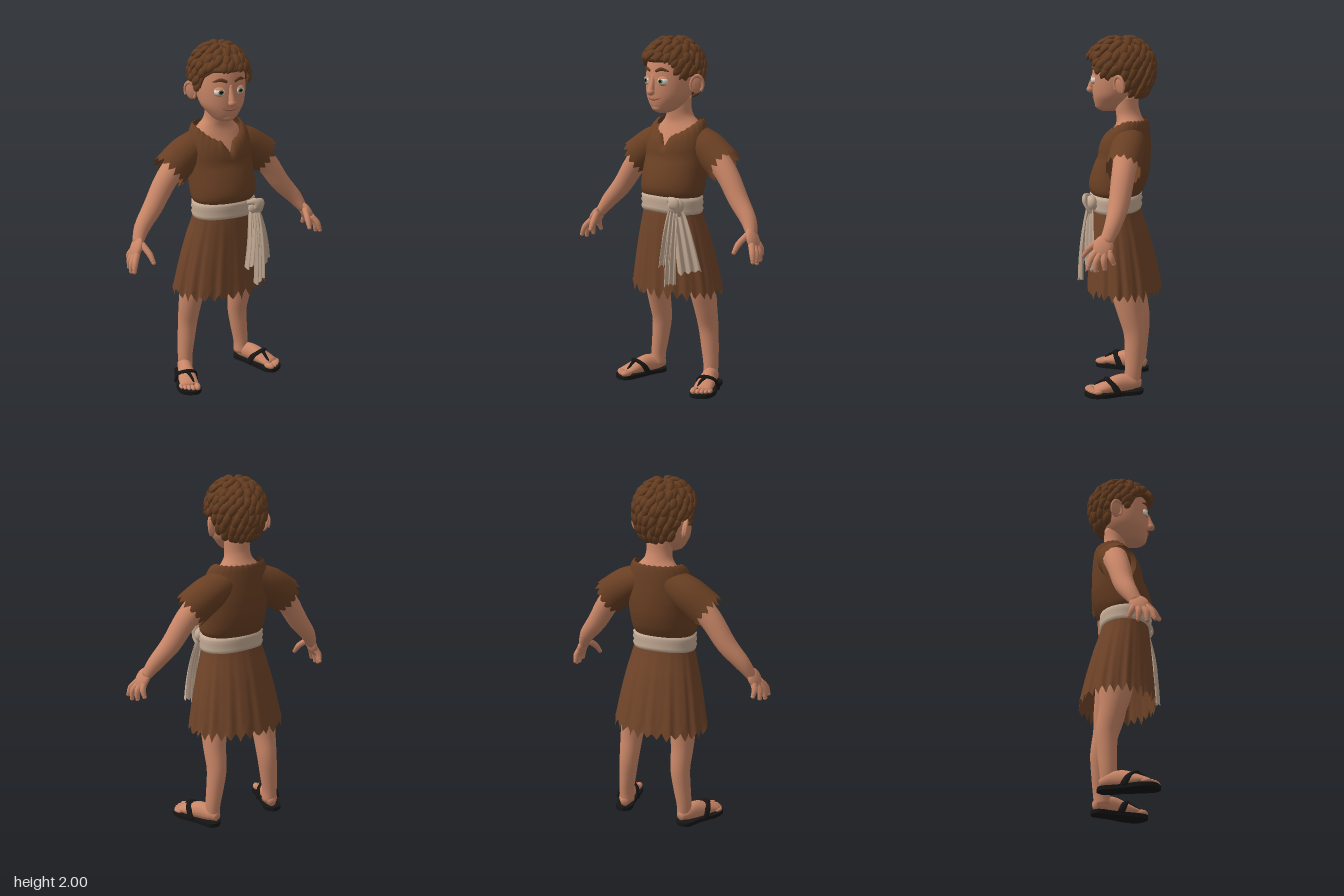
import * as THREE from 'three';
import { mergeGeometries } from 'three/addons/utils/BufferGeometryUtils.js';

const V = (p) => new THREE.Vector3(...p);
const { lerp, clamp } = THREE.MathUtils;
const mat = (name, color, side = THREE.FrontSide) => Object.assign(new THREE.MeshStandardMaterial({ color, side }), { name });
const M = {
  skin: mat('skin', 0xc98667), hair: mat('hair', 0x643c20), shirt: mat('shirt cloth', 0x693f23, THREE.DoubleSide),
  skirt: mat('skirt cloth', 0x704429, THREE.DoubleSide), sash: mat('sash cloth', 0xc4ab95, THREE.DoubleSide),
  sandal: mat('sandal leather', 0x151515), white: mat('eye white', 0xe6e0d8), iris: mat('iris', 0x5c6b52),
  pupil: mat('pupil', 0x0c0a09), lip: mat('lip', 0x9c5a46),
};

let seed = 7;
const rand = () => (seed = (seed * 16807) % 2147483647) / 2147483647;

function add(parent, name, geo, material) {
  const m = new THREE.Mesh(geo, material);
  m.name = name;
  parent.add(m);
  return m;
}

function ball(parent, name, material, pos, size, rot = [0, 0, 0]) {
  const m = add(parent, name, new THREE.SphereGeometry(1, 20, 14), material);
  m.position.set(...pos);
  m.scale.set(...size);
  m.rotation.set(...rot);
  return m;
}

// Skin a stack of equal closed rings
function loft(rings, caps = true) {
  const n = rings[0].length, last = rings.length - 1, pos = [], idx = [];
  rings.forEach((r) => r.forEach((p) => pos.push(p.x, p.y, p.z)));
  for (let i = 0; i < last; i++) for (let j = 0; j < n; j++) {
    const a = i * n + j, b = i * n + (j + 1) % n;
    idx.push(a, a + n, b, b, a + n, b + n);
  }
  if (caps) [0, last].forEach((i, top) => {
    const c = rings[i].reduce((s, p) => s.add(p), V([0, 0, 0])).divideScalar(n), k = pos.length / 3;
    pos.push(c.x, c.y, c.z);
    for (let j = 0; j < n; j++) {
      const a = i * n + j, b = i * n + (j + 1) % n;
      top ? idx.push(k, b, a) : idx.push(k, a, b);
    }
  });
  const g = new THREE.BufferGeometry();
  g.setAttribute('position', new THREE.Float32BufferAttribute(pos, 3));
  g.setIndex(idx);
  g.computeVertexNormals();
  return g;
}

const around = (n, f) => Array.from({ length: n }, (_, j) => f((j / n) * Math.PI * 2, j));
// Horizontal oval from a section [y, half width, front z, back z]
const oval = ([y, w, f, b], n, wave = () => 1) => around(n, (a) => {
  const k = wave(a);
  return V([Math.cos(a) * w * k, y, (f + b) / 2 + Math.sin(a) * (f - b) / 2 * k]);
});
// Smoothly resample sections
function sections(list, count) {
  const c = new THREE.CatmullRomCurve3(list.map(([y, w, f]) => V([y, w, f])));
  const d = new THREE.CatmullRomCurve3(list.map((s) => V([s[3], 0, 0])));
  return Array.from({ length: count + 1 }, (_, i) => [...c.getPoint(i / count).toArray(), d.getPoint(i / count).x]);
}

// Limb along a path; each radius is [along ref, across ref]
function limbRings(pts, radii, ref = [0, 0, 1], n = 16, steps = 16) {
  const c = new THREE.CatmullRomCurve3(pts.map(V));
  const rc = new THREE.CatmullRomCurve3(radii.map((r) => (r.length ? V([...r, 0]) : V([r, r, 0]))));
  return Array.from({ length: steps + 1 }, (_, i) => {
    const t = i / steps, p = c.getPoint(t), T = c.getTangent(t), r = rc.getPoint(t);
    const u = V(ref).addScaledVector(T, -T.dot(V(ref))).normalize(), v = u.clone().cross(T);
    return around(n, (a) => p.clone().addScaledVector(u, Math.cos(a) * r.x).addScaledVector(v, Math.sin(a) * r.y));
  });
}
const limb = (...args) => loft(limbRings(...args));

// Hair surface: angle a around the head (front = PI/2), theta down from the top
const hairline = [[-1, 2.5], [-0.45, 2.35], [-0.25, 1.75], [0.12, 1.75], [0.3, 1.95], [0.5, 1.55], [0.75, 1.33], [1, 1.3]];
function hairEnd(a) {
  const s = Math.sin(a), i = Math.max(1, hairline.findIndex(([k]) => s <= k + 1e-9));
  const [[s0, t0], [s1, t1]] = [hairline[i - 1], hairline[i]];
  return lerp(t0, t1, clamp((s - s0) / (s1 - s0), 0, 1));
}
function hairPoint(a, th, k = 1) {
  const c = Math.cos(th), r = Math.sin(th) * k, fringe = 1 + 0.1 * Math.max(0, Math.sin(a)) * Math.sin(th) ** 2;
  return V([Math.cos(a) * r * 0.152, 1.82 + c * (c > 0 ? 0.162 : 0.21) * k, -0.005 + Math.sin(a) * r * 0.178 * fringe]);
}

function buildHead() {
  const head = new THREE.Group();
  head.name = 'head';
  head.position.x = -0.013;
  head.rotation.y = -0.12;
  const skull = sections([[1.573, 0.025, 0.11, 0.04], [1.588, 0.06, 0.135, 0], [1.62, 0.09, 0.15, -0.05], [1.66, 0.118, 0.157, -0.085],
    [1.70, 0.13, 0.16, -0.11], [1.76, 0.136, 0.16, -0.13], [1.82, 0.136, 0.155, -0.145], [1.88, 0.128, 0.14, -0.14],
    [1.93, 0.1, 0.1, -0.11], [1.96, 0.04, 0.03, -0.05]], 30);
  add(head, 'skull', loft(skull.map((s) => oval(s, 40))), M.skin);

  // Nose and mouth
  add(head, 'noseBridge', limb([[0, 1.785, 0.148], [0, 1.74, 0.162], [0, 1.69, 0.176]], [0.012, 0.015, 0.02], [1, 0, 0]), M.skin);
  ball(head, 'noseTip', M.skin, [0, 1.692, 0.174], [0.023, 0.02, 0.022]);
  add(head, 'mouth', limb([[-0.05, 1.662, 0.143], [-0.025, 1.652, 0.154], [0, 1.65, 0.158], [0.025, 1.652, 0.154], [0.05, 1.662, 0.143]],
    [0.002, 0.004, 0.005, 0.004, 0.002], [0, 1, 0], 8), M.lip);
  ball(head, 'chin', M.skin, [0, 1.605, 0.12], [0.04, 0.024, 0.026]);

  for (const s of [-1, 1]) {
    // Eyes with lids and brows
    const eye = new THREE.Group();
    eye.name = s > 0 ? 'leftEye' : 'rightEye';
    eye.position.set(s * 0.053, 1.752, 0.128);
    eye.scale.set(0.034, 0.028, 0.031);
    eye.rotation.y = s * 0.15;
    add(eye, 'eyeball', new THREE.SphereGeometry(1, 20, 14), M.white);
    add(eye, 'iris', new THREE.SphereGeometry(1.02, 16, 4, 0, 6.2832, 0, 0.45).rotateX(1.57), M.iris);
    add(eye, 'pupil', new THREE.SphereGeometry(1.04, 16, 3, 0, 6.2832, 0, 0.24).rotateX(1.57), M.pupil);
    add(eye, 'upperLid', new THREE.SphereGeometry(1.1, 20, 8, 0, 6.2832, 0, 1.15), M.skin);
    add(eye, 'lowerLid', new THREE.SphereGeometry(1.08, 20, 8, 0, 6.2832, 2.15, 0.99), M.skin);
    head.add(eye);
    add(head, 'eyebrow', limb([[s * 0.022, 1.806, 0.157], [s * 0.055, 1.818, 0.149], [s * 0.092, 1.806, 0.124]],
      [[0.007, 0.005], [0.01, 0.006], [0.003, 0.003]], [0, 1, 0], 8), M.hair);
    // Ears with a rolled rim
    const ear = new THREE.Group();
    ear.name = s > 0 ? 'leftEar' : 'rightEar';
    ear.position.set(s * 0.153, 1.732, -0.03);
    ear.rotation.set(0, s * -0.6, s * -0.12);
    ball(ear, 'earBody', M.skin, [0, 0, 0], [0.013, 0.052, 0.036]);
    const rim = add(ear, 'earRim', new THREE.TorusGeometry(0.035, 0.008, 8, 24, 4.6).rotateZ(-0.9).rotateY(s * 1.57), M.skin);
    rim.position.x = s * 0.008;
    rim.scale.y = 1.35;
    head.add(ear);
  }

  // Hair cap, then overlapping locks flowing down from the crown
  const rows = [[1, 0.86], ...Array.from({ length: 15 }, (_, i) => [1 - i / 14.2, 1])];
  add(head, 'hairCap', loft(rows.map(([t, k]) => around(72, (a) => hairPoint(a, hairEnd(a) * t, k)))), M.hair);
  const locks = [];
  for (let row = 0; row < 8; row++) {
    const count = [6, 12, 17, 20, 22, 22, 22, 22][row];
    for (let i = 0; i < count; i++) {
      const a = ((i + 0.5 * (row % 2) + 0.4 * rand()) / count) * Math.PI * 2, end = hairEnd(a) + 0.04;
      const t0 = 0.08 + row * 0.27 + rand() * 0.08, t1 = Math.min(t0 + 0.5, end), turn = 0.1 + rand() * 0.25;
      if (t1 - t0 < 0.2) continue;
      const path = [0, 0.35, 0.7, 1].map((t, q) => hairPoint(a + turn * t, lerp(t0, t1, t), [0.97, 1.04, 1.05, 1.01][q]).toArray());
      const out = V(path[1]).sub(V([0, 1.82, 0])).normalize().toArray();
      locks.push(limb(path, [[0.006, 0.008], [0.014, 0.022], [0.013, 0.019], [0.002, 0.003]], out, 8, 7));
    }
  }
  add(head, 'hairLocks', mergeGeometries(locks), M.hair);
  return head;
}

function buildArm() {
  const arm = new THREE.Group();
  // Sleeve with a ragged cuff
  const sleeve = limbRings([[0.06, 1.445, -0.065], [0.2, 1.37, -0.058], [0.305, 1.293, -0.045]],
    [[0.08, 0.075], [0.098, 0.1], [0.096, 0.105]], [0, 0, 1], 60, 14);
  const axis = V([0.8, -0.6, 0]);
  sleeve[14].forEach((p, j) => p.addScaledVector(axis, [-0.01, 0.008, 0.02, 0.006][j % 4] * (0.6 + rand() * 0.8)));
  add(arm, 'sleeve', loft(sleeve, false), M.shirt);
  add(arm, 'armSkin', limb([[0.2, 1.38, -0.055], [0.325, 1.25, -0.045], [0.42, 1.11, -0.03], [0.505, 1.01, -0.005], [0.55, 0.935, 0.025]],
    [0.07, 0.064, 0.056, 0.044, [0.035, 0.026]]), M.skin);
  // Hand
  ball(arm, 'palm', M.skin, [0.562, 0.92, 0.035], [0.026, 0.066, 0.053], [-0.2, 0, 0.45]);
  const fingers = { thumb: [[0.54, 0.945, 0.06], [0.522, 0.9, 0.115], [0.515, 0.86, 0.145]], index: [[0.575, 0.9, 0.07], [0.602, 0.86, 0.098], [0.615, 0.815, 0.11]],
    middle: [[0.58, 0.89, 0.05], [0.607, 0.85, 0.068], [0.613, 0.803, 0.07]], ring: [[0.578, 0.89, 0.027], [0.6, 0.855, 0.028], [0.602, 0.812, 0.024]],
    little: [[0.57, 0.9, 0.005], [0.584, 0.87, -0.008], [0.582, 0.835, -0.022]] };
  for (const [name, path] of Object.entries(fingers)) {
    add(arm, name + 'Finger', limb(path, [0.018, 0.017, 0.012], [1, 0, 0], 10, 8), M.skin);
    ball(arm, name + 'Tip', M.skin, path[2], [0.0125, 0.0125, 0.0125]);
  }
  return arm;
}

function buildLeg() {
  const leg = new THREE.Group();
  add(leg, 'legSkin', limb([[0.13, 0.8, -0.03], [0.16, 0.58, -0.05], [0.168, 0.46, -0.07], [0.17, 0.34, -0.095], [0.182, 0.22, -0.095], [0.193, 0.12, -0.09], [0.192, 0.05, -0.085]],
    [[0.1, 0.085], [0.09, 0.071], [0.072, 0.063], [0.061, 0.056], [0.053, 0.049], [0.047, 0.042], [0.045, 0.04]], [0, 0, 1], 20, 24), M.skin);
  const foot = new THREE.Group();
  foot.name = 'foot';
  foot.position.set(0.245, 0, 0.012);
  foot.rotation.y = 0.33;
  add(foot, 'footSkin', limb([[-0.01, 0.05, -0.155], [-0.01, 0.06, -0.11], [-0.004, 0.062, -0.04], [0, 0.05, 0.04], [0, 0.037, 0.115]],
    [[0.024, 0.022], [0.042, 0.042], [0.052, 0.043], [0.037, 0.053], [0.017, 0.053]], [0, 1, 0], 20, 16), M.skin);
  [[-0.04, 0.125, 0.02], [-0.014, 0.132, 0.014], [0.009, 0.127, 0.013], [0.03, 0.118, 0.012], [0.049, 0.103, 0.012]].forEach(([x, z, r]) =>
    ball(foot, 'toe', M.skin, [x, 0.033, z], [r, r * 0.95, r + 0.015]));
  // Sandal
  const outline = new THREE.Shape(new THREE.SplineCurve([[0, -0.17], [0.045, -0.14], [0.05, -0.04], [0.068, 0.07], [0.045, 0.145], [-0.025, 0.165],
    [-0.064, 0.13], [-0.06, 0.04], [-0.05, -0.05], [-0.047, -0.14], [0, -0.17]].map(([x, z]) => new THREE.Vector2(x, -z))).getPoints(48));
  add(foot, 'sole', new THREE.ExtrudeGeometry(outline, { depth: 0.022, bevelEnabled: false }).rotateX(-Math.PI / 2), M.sandal);
  add(foot, 'instepStrap', limb([[-0.062, 0.015, -0.015], [-0.048, 0.07, 0.015], [0, 0.093, 0.04], [0.048, 0.07, 0.015], [0.062, 0.015, -0.015]],
    [[0.02, 0.008], [0.018, 0.009], [0.02, 0.01], [0.018, 0.009], [0.02, 0.008]], [0, 0.3, 1], 10), M.sandal);
  add(foot, 'toeStrap', limb([[0, 0.09, 0.045], [-0.018, 0.07, 0.085], [-0.026, 0.025, 0.13]], [0.012, 0.008, 0.006], [1, 0, 0], 8), M.sandal);
  leg.add(foot);
  return leg;
}

// Hanging strip of pleated cloth facing the angle phi
function clothTail(parent, top, bottom, w0, w1, phi) {
  const g = new THREE.PlaneGeometry(1, 1, 24, 12), p = g.attributes.position;
  const across = V([Math.cos(phi), 0, -Math.sin(phi)]), out = V([Math.sin(phi), 0, Math.cos(phi)]);
  for (let i = 0; i < p.count; i++) {
    const u = p.getX(i), t = 0.5 - p.getY(i);
    const q = V(top).lerp(V(bottom), t).addScaledVector(across, u * lerp(w0, w1, Math.sqrt(t)));
    q.addScaledVector(out, Math.sin(u * 17 + t) * (0.007 + 0.007 * t) + 0.012 * Math.sin(t * 3.1));
    q.y += t * (0.02 * u + 0.008 * Math.sin(u * 21));
    p.setXYZ(i, q.x, q.y, q.z);
  }
  g.computeVertexNormals();
  add(parent, 'sashTail', g, M.sash);
}

export function createModel() {
  const model = new THREE.Group();
  model.name = 'figure';
  model.add(buildHead());
  const chest = sections([[1.34, 0.165, 0.09, -0.14], [1.42, 0.16, 0.062, -0.14], [1.48, 0.145, 0.035, -0.14], [1.52, 0.108, 0.022, -0.132],
    [1.555, 0.08, 0.024, -0.115], [1.6, 0.073, 0.03, -0.102], [1.67, 0.075, 0.03, -0.1]], 18);
  add(model, 'neckAndChest', loft(chest.map((s) => oval(s, 32))), M.skin);

  // Shirt: puffed waist, rounded shoulders, notched neckline
  const body = sections([[1.09, 0.16, 0.14, -0.1], [1.125, 0.188, 0.17, -0.122], [1.17, 0.193, 0.178, -0.145], [1.25, 0.194, 0.158, -0.165], [1.33, 0.195, 0.125, -0.17]], 14)
    .map((s) => oval(s, 80));
  const base = body[body.length - 1];
  const neck = around(80, (a, j) => {
    const s = Math.sin(a), f = Math.max(0, s), notch = Math.max(0, 1 - Math.abs(Math.cos(a)) / 0.24) * f;
    return V([Math.cos(a) * 0.138, 1.53 - 0.085 * f ** 1.5 - 0.06 * notch + (j % 3 ? 0 : 0.006), -0.055 + s * (s > 0 ? 0.125 : 0.095) + 0.025 * notch]);
  });
  for (let i = 1; i <= 8; i++) {
    const t = (i / 8) * Math.PI / 2, h = 1 - Math.cos(t);
    body.push(base.map((p, j) => V([lerp(p.x, neck[j].x, h), lerp(p.y, neck[j].y, Math.sin(t)), lerp(p.z, neck[j].z, h)])));
  }
  add(model, 'shirt', loft(body, false), M.shirt);

  // Pleated skirt with a torn hem
  const skirt = sections([[0.565, 0.278, 0.185, -0.232], [0.72, 0.252, 0.178, -0.2], [0.88, 0.218, 0.168, -0.16], [1.0, 0.187, 0.158, -0.122], [1.08, 0.172, 0.145, -0.1]], 16)
    .map((s) => oval(s, 120, (a) => 1 + (1.08 - s[0]) * (0.05 * Math.sin(17 * a) + 0.03 * Math.sin(29 * a + 1))));
  skirt[0].forEach((p, j) => { p.y += [-0.028, -0.006, 0.022, 0][j % 4] * (0.5 + rand() * 0.8); });
  add(model, 'skirt', loft(skirt, false), M.skirt);

  // Wrapped sash, knot and tails
  const wrap = [[1.015, -0.012], [1.022, 0.002], [1.042, 0.008], [1.058, 0.001], [1.075, 0.009], [1.092, 0.003], [1.105, 0.007], [1.118, -0.012]];
  add(model, 'sashBelt', loft(wrap.map(([y, d]) => oval([y, 0.183 + d, 0.165 + d, -0.115 - d], 64).map((p) => p.setY(p.y + 0.008 * Math.sin(p.x * 12 + 2)))), false), M.sash);
  ball(model, 'sashKnot', M.sash, [0.125, 1.07, 0.152], [0.046, 0.045, 0.034], [0, 0.4, 0.4]);
  add(model, 'knotLoop', limb([[0.075, 1.1, 0.158], [0.115, 1.105, 0.185], [0.15, 1.065, 0.178], [0.15, 1.02, 0.15]],
    [[0.01, 0.012], [0.012, 0.02], [0.012, 0.02], [0.01, 0.014]], [0, 0, 1], 12), M.sash);
  clothTail(model, [0.108, 1.05, 0.165], [0.082, 0.735, 0.2], 0.05, 0.085, 0.1);
  clothTail(model, [0.125, 1.05, 0.17], [0.128, 0.635, 0.212], 0.045, 0.075, 0.3);
  clothTail(model, [0.14, 1.05, 0.152], [0.212, 0.705, 0.138], 0.05, 0.13, 0.7);

  // Mirrored limbs
  for (const s of [1, -1]) for (const [name, build] of [['Arm', buildArm], ['Leg', buildLeg]]) {
    const g = build();
    g.name = (s > 0 ? 'left' : 'right') + name;
    g.scale.x = s;
    model.add(g);
  }
  return model;
}
